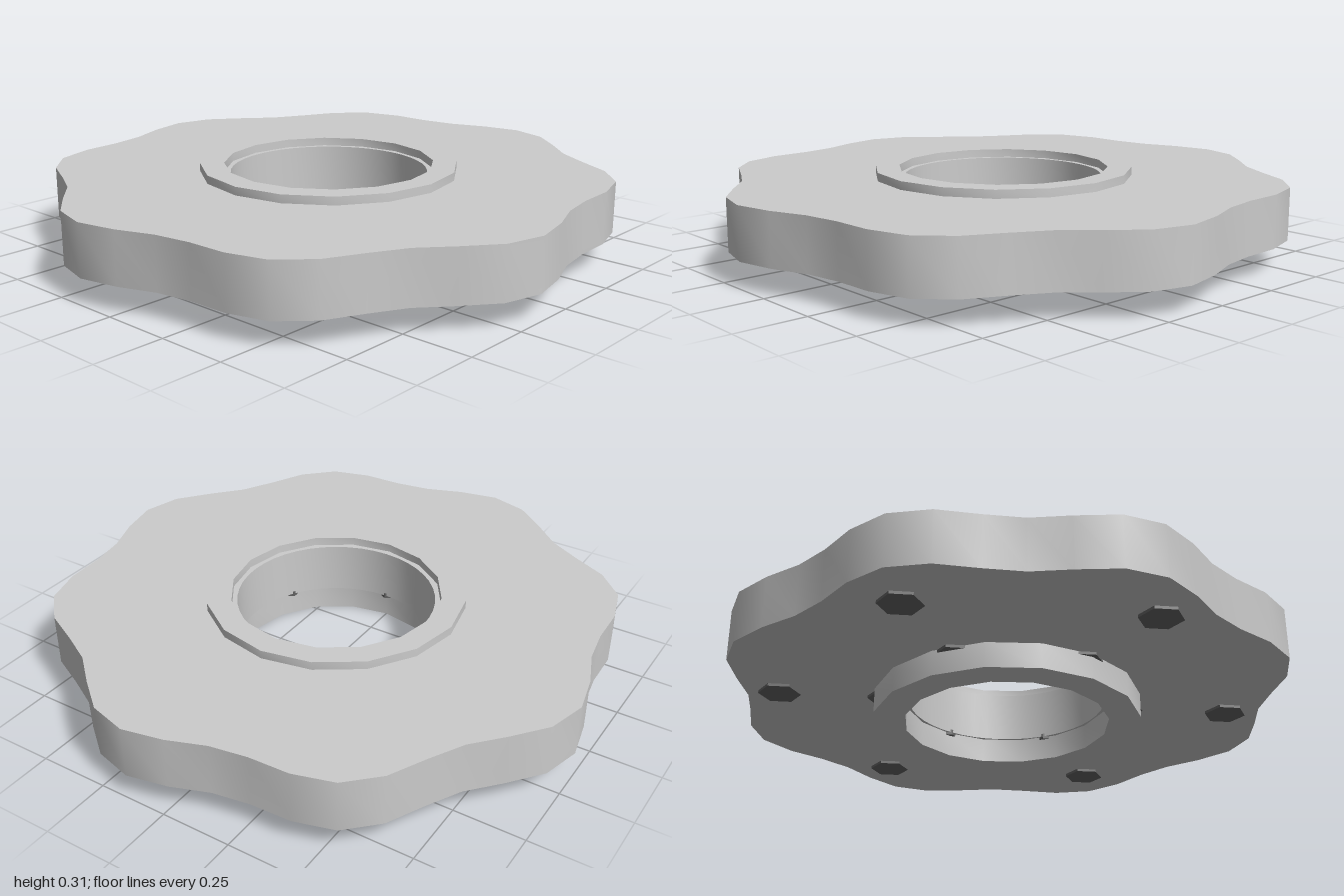
import * as THREE from 'three';
import { toCreasedNormals } from 'three/addons/utils/BufferGeometryUtils.js';

const grey = new THREE.MeshStandardMaterial({ color: 0xcccccc });
const dark = new THREE.MeshStandardMaterial({ color: 0x666666 });

// Closed loop of points whose radius follows a function of the angle
function loop(segments, radiusAt) {
  return Array.from({ length: segments }, (_, i) => {
    const a = (i / segments) * Math.PI * 2;
    const r = radiusAt(a);
    return new THREE.Vector2(r * Math.cos(a), r * Math.sin(a));
  });
}

// Flat slab with a central hole, lying between two heights
function slab(name, outer, inner, bottom, top) {
  const shape = new THREE.Shape(outer);
  shape.holes.push(new THREE.Path(inner));
  const extruded = new THREE.ExtrudeGeometry(shape, { depth: top - bottom, bevelEnabled: false });
  extruded.rotateX(Math.PI / 2).translate(0, top, 0);
  const mesh = new THREE.Mesh(toCreasedNormals(extruded, 0.6), grey);
  mesh.name = name;
  return mesh;
}

export function createModel() {
  const group = new THREE.Group();
  group.name = 'scallopedFlange';

  // Wavy plate with eight lobes and a round bore
  group.add(slab('plate', loop(44, a => 0.968 + 0.044 * Math.sin(8 * a)),
    loop(44, () => 0.354), 0.09, 0.275));

  // Raised collar on top and hub ring underneath
  group.add(slab('topCollar', loop(16, () => 0.463), loop(16, () => 0.377), 0.275, 0.305));
  group.add(slab('bottomHub', loop(16, () => 0.48), loop(16, () => 0.367), 0, 0.09));

  // Two rings of six hexagonal bolt heads on the underside
  const hex = toCreasedNormals(new THREE.CylinderGeometry(0.075, 0.075, 0.02, 6), 0.6);
  hex.rotateY(Math.PI / 2);
  for (const [name, radius] of [['outerBolt', 0.81], ['innerBolt', 0.425]]) {
    for (let i = 0; i < 6; i++) {
      const a = (i * Math.PI) / 3;
      const bolt = new THREE.Mesh(hex, dark);
      bolt.name = name;
      bolt.position.set(radius * Math.cos(a), 0.09, radius * Math.sin(a));
      group.add(bolt);
    }
  }
  return group;
}
